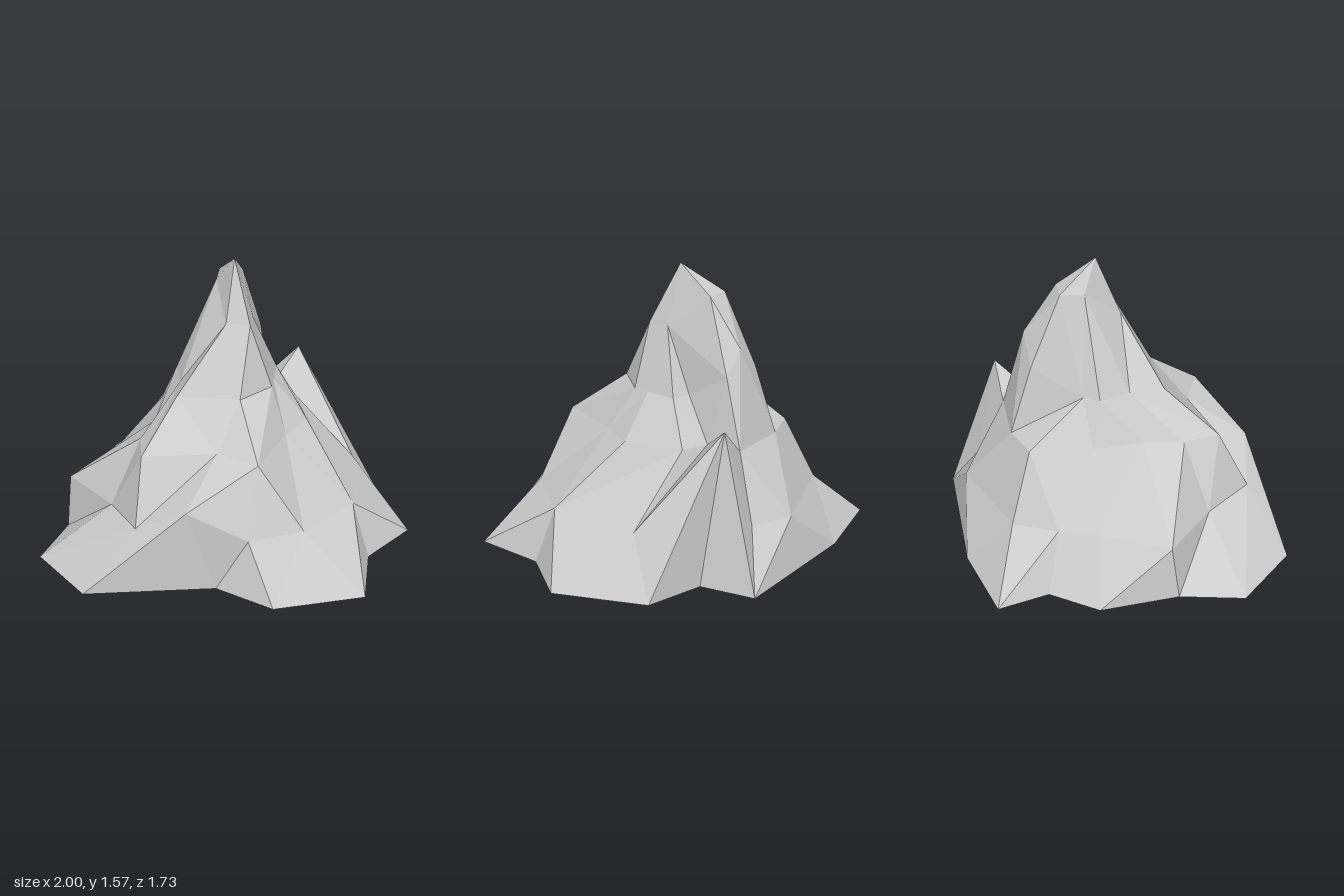
import * as THREE from 'three';

// Contours of the mountain, each listed front -> right -> back -> left.
// Points are [x, z] at the contour's height, or [x, z, y] where a ridge rises off it.
const contour = (height, points) =>
  points.map(([x, z, y = height]) => new THREE.Vector3(x, y, z));

const foot = contour(0, [
  [0, 0.71], [0.32, 0.86], [0.79, 0.69], [0.79, 0.3], [1, 0],
  [0.79, -0.48], [0.47, -0.57], [0.4, -0.87], [-0.38, -0.87], [-0.84, -0.76],
  [-0.77, -0.48], [-0.95, -0.24], [-0.92, 0.19], [-1, 0.53], [-0.69, 0.85],
]);
// includes the side spike at the back right
const lowerSlope = contour(0.3, [
  [0.17, 0.7], [0.45, 0.56], [0.69, 0.24], [0.66, -0.28], [0.31, -0.6, 0.83],
  [0.22, -0.72], [0, -0.82], [-0.24, -0.73], [-0.52, -0.63], [-0.63, -0.4],
  [-0.71, -0.2], [-0.9, 0.15], [-0.61, 0.42], [-0.43, 0.68, 0.32], [-0.15, 0.74, 0.47],
]);
const middleSlope = contour(0.66, [
  [0.2, 0.53], [0.31, 0.17], [0.41, -0.02], [0.31, -0.33], [0.17, -0.39],
  [0.14, -0.58], [-0.19, -0.58], [-0.39, -0.51], [-0.43, -0.18], [-0.42, 0.1],
  [-0.46, 0.31], [-0.42, 0.51], [-0.03, 0.43],
]);
// includes the high shoulder at the back
const upperSlope = contour(0.89, [
  [0.07, 0.24], [0.22, 0.06], [0.22, -0.03], [0.22, -0.2], [0.12, -0.23],
  [0.1, -0.46, 1.03], [0, -0.47, 1.17], [-0.16, -0.46, 1.03], [-0.28, -0.2],
  [-0.33, -0.12], [-0.28, 0.05], [-0.27, 0.24],
]);
const crown = contour(1.24, [
  [0.1, 0.05], [0.1, -0.07], [0.02, -0.29, 1.42],
  [-0.11, -0.29, 1.42], [-0.11, -0.16, 1.41], [-0.03, 0.05],
]);
const apex = contour(1.565, [[0, -0.08]]);
const centre = contour(0, [[0, 0]]);

// Joins two closed contours with triangles. Each step moves one corner on:
// L along the lower contour, U along the upper one.
function stitch(lower, upper, steps) {
  const triangles = [];
  let i = 0, j = 0;
  for (const step of steps) {
    const low = lower[i % lower.length];
    const up = upper[j % upper.length];
    if (step === 'L') triangles.push(low, lower[++i % lower.length], up);
    else triangles.push(low, upper[++j % upper.length], up);
  }
  return triangles;
}

export function createModel() {
  const group = new THREE.Group();
  group.name = 'mountain';
  const material = new THREE.MeshStandardMaterial({ color: 0xcccccc, flatShading: true });

  const addPart = (name, triangles) => {
    const geometry = new THREE.BufferGeometry().setFromPoints(triangles);
    geometry.computeVertexNormals();
    const mesh = new THREE.Mesh(geometry, material);
    mesh.name = name;
    group.add(mesh);
  };

  // Rock bands from the foot to the summit
  addPart('foothills', stitch(foot, lowerSlope, 'LULULLULULLUULUULULULULULULULU'));
  addPart('lowerCliffs', stitch(lowerSlope, middleSlope, 'LULUULULULLULULLULULULULULUL'));
  addPart('upperCliffs', stitch(middleSlope, upperSlope, 'ULULULLUULULUULLULULLULUL'));
  addPart('shoulders', stitch(upperSlope, crown, 'LLULLLULULLULLULLU'));
  addPart('summit', stitch(crown, apex, 'L'.repeat(crown.length)));

  // Flat underside
  addPart('underside', stitch(centre, foot, 'U'.repeat(foot.length)));
  return group;
}
